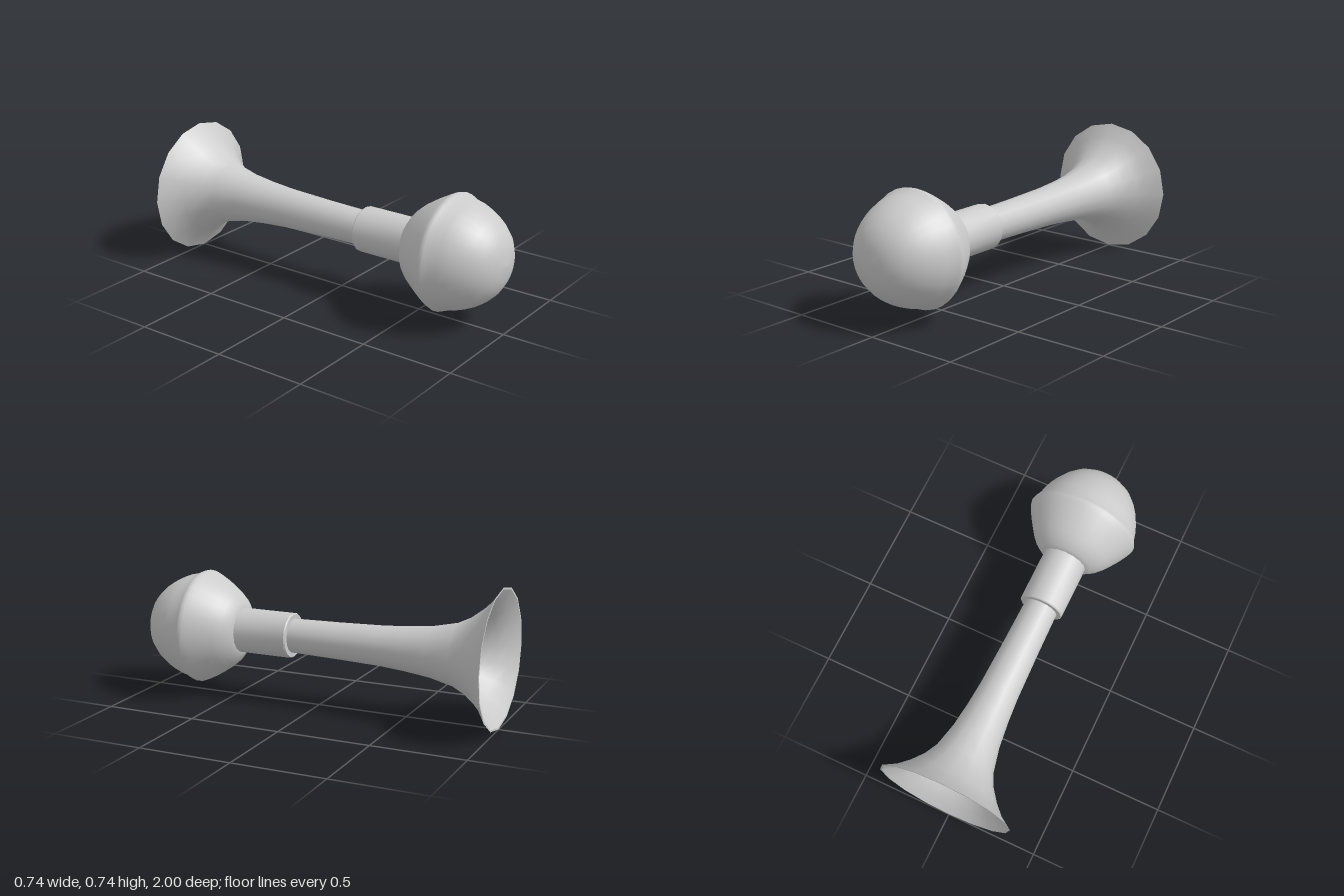
import * as THREE from 'three';
import { toCreasedNormals } from 'three/addons/utils/BufferGeometryUtils.js';

const AXIS_Y = 0.37;
const material = new THREE.MeshStandardMaterial({ color: 0xcccccc });

// Turns a profile of [radius, z] pairs around the horizontal z axis.
// Outer surfaces run towards +z, inner surfaces towards -z.
function turned(name, profile, sides, crease) {
  const points = profile.map(([r, z]) => new THREE.Vector2(r, z));
  let geometry = new THREE.LatheGeometry(points, sides).rotateX(Math.PI / 2);
  if (crease) geometry = toCreasedNormals(geometry, crease);
  const mesh = new THREE.Mesh(geometry, material);
  mesh.name = name;
  mesh.position.y = AXIS_Y;
  return mesh;
}

export function createModel() {
  const model = new THREE.Group();
  model.name = 'bulbHorn';

  // Flared horn: outer wall, thin rim and inner wall
  const flare = [
    [0.368, -1], [0.30, -0.955], [0.25, -0.905], [0.2, -0.84], [0.165, -0.77],
    [0.135, -0.64], [0.118, -0.5], [0.107, -0.36], [0.098, -0.1], [0.092, 0.16], [0.092, 0.3],
  ];
  const wall = 0.01;
  const inner = flare.map(([r, z]) => [r - wall, z]).reverse();
  const horn = new THREE.Group();
  horn.name = 'horn';
  horn.add(
    turned('hornOuterWall', flare, 16),
    turned('hornInnerWall', [[0, 0.3], ...inner], 16),
    turned('hornRim', [[0.358, -1], [0.368, -1]], 16),
  );
  model.add(horn);

  // Sleeve joining the horn to the bulb
  model.add(turned('sleeve', [
    [0.085, 0.15], [0.117, 0.15], [0.122, 0.156], [0.122, 0.48],
  ], 16, 0.6));

  // Squeeze bulb with a soft ridge round its middle
  const bulb = [
    [0, 0.445], [0.11, 0.45], [0.15, 0.465], [0.19, 0.495], [0.22, 0.53], [0.25, 0.575],
    [0.275, 0.615], [0.294, 0.65], [0.305, 0.672], [0.31, 0.687], [0.305, 0.7], [0.291, 0.73],
    [0.282, 0.77], [0.267, 0.81], [0.245, 0.855], [0.215, 0.9], [0.175, 0.943],
    [0.125, 0.975], [0.065, 0.995], [0, 1],
  ];
  model.add(turned('bulb', bulb, 32));

  return model;
}
